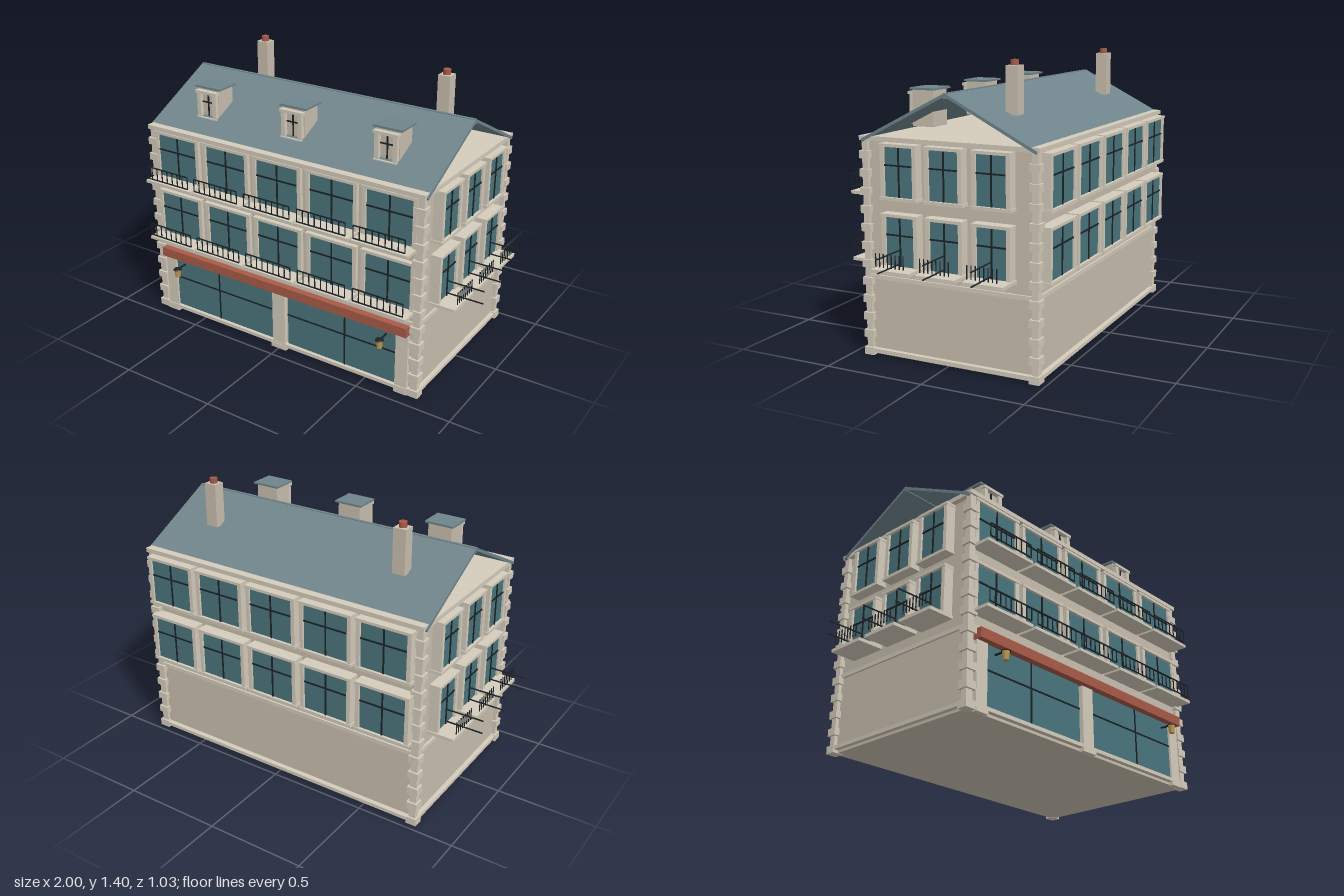
import * as THREE from 'three';

const mat = (color) => new THREE.MeshStandardMaterial({ color });
const M = {
  wall: mat(0xc8bfae), trim: mat(0xd4ccbc), glass: mat(0x4a757d), roof: mat(0x6f848b),
  iron: mat(0x1c2226), red: mat(0xa85a48), gold: mat(0xc09a50),
};

const WALL = { x: 0.77, front: 0.41, back: -0.45 };
const MID = (WALL.front + WALL.back) / 2;
const BAYS = [-0.615, -0.308, 0, 0.308, 0.615];
const SIDE_BAYS = [0.213, -0.018, -0.254];
const FLOORS = [0.46, 0.78];
const WIN_H = 0.23;

function box(parent, name, m, w, h, d, x, y, z) {
  const mesh = new THREE.Mesh(new THREE.BoxGeometry(w, h, d), m);
  mesh.name = name;
  mesh.position.set(x, y, z);
  parent.add(mesh);
  return mesh;
}

function cyl(parent, name, m, rTop, rBottom, h, x, y, z) {
  const mesh = new THREE.Mesh(new THREE.CylinderGeometry(rTop, rBottom, h, 16), m);
  mesh.name = name;
  mesh.position.set(x, y, z);
  parent.add(mesh);
  return mesh;
}

function group(parent, name, x = 0, y = 0, z = 0, turn = 0) {
  const g = new THREE.Group();
  g.name = name;
  g.position.set(x, y, z);
  g.rotation.y = turn;
  parent.add(g);
  return g;
}

// Framed window facing +z; origin on the wall at the bottom centre of the glass
function addWindow(g, w, d) {
  const h = WIN_H, j = 0.02;
  box(g, 'glass', M.glass, w, h, d - 0.014, 0, h / 2, (d - 0.014) / 2);
  box(g, 'mullion', M.iron, 0.007, h, 0.006, 0, h / 2, d - 0.012);
  box(g, 'transom', M.iron, w, 0.007, 0.006, 0, h * 0.63, d - 0.012);
  for (const s of [-1, 1]) box(g, 'jamb', M.trim, j, h, d - 0.004, s * (w + j) / 2, h / 2, (d - 0.004) / 2);
  box(g, 'lintel', M.trim, w + 2 * j + 0.004, 0.014, d, 0, h + 0.006, d / 2);
  box(g, 'sill', M.trim, w + 2 * j + 0.01, 0.015, d, 0, -0.0075, d / 2);
}

function addFrontRailing(g, w, z) {
  for (const y of [0.013, 0.077]) box(g, 'rail', M.iron, w, 0.005, 0.005, 0, y, z);
  for (let i = 0; i < 9; i++) box(g, 'baluster', M.iron, 0.004, 0.064, 0.004, (i / 8 - 0.5) * w, 0.045, z);
}

// Side railing: balusters along the slab edge, rails projecting outward across them
function addSideRailing(g, w, z) {
  for (const y of [0.015, 0.079]) box(g, 'rail', M.iron, 0.005, 0.005, 0.19, 0, y, z);
  for (let i = 0; i < 8; i++) box(g, 'baluster', M.iron, 0.004, 0.064, 0.004, (i / 7 - 0.5) * w, 0.047, z);
}

function addBody(root) {
  const g = group(root, 'body');
  const depth = WALL.front - WALL.back;
  box(g, 'walls', M.wall, 2 * WALL.x, 1.03, depth, 0, 0.52, MID);
  box(g, 'plinth', M.trim, 1.585, 0.018, depth + 0.05, 0, 0.027, MID);
  box(g, 'stringCourse', M.trim, 2 * WALL.x + 0.02, 0.02, depth + 0.02, 0, 0.385, MID);
  box(g, 'cornice', M.trim, 1.59, 0.022, depth + 0.05, 0, 1.037, MID);
  // Corner stones, alternately wide and narrow
  const n = 24, step = 1.025 / n;
  for (const sx of [-1, 1]) for (const z of [WALL.front, WALL.back]) {
    const q = group(g, 'quoins', sx * WALL.x, 0, z);
    for (let i = 0; i < n; i++) {
      const wide = i % 2 === 0;
      box(q, 'quoin', M.trim, wide ? 0.055 : 0.036, step * (wide ? 0.86 : 1.14), wide ? 0.05 : 0.03, 0, (i + 0.5) * step, 0);
    }
  }
}

function addShopfront(root) {
  const g = group(root, 'shopfront', 0, 0, WALL.front);
  for (const s of [-1, 1]) {
    const x = s * 0.36;
    box(g, 'shopGlass', M.glass, 0.62, 0.29, 0.01, x, 0.183, 0.005);
    box(g, 'shopMullion', M.iron, 0.007, 0.29, 0.006, s * 0.385, 0.183, 0.011);
    box(g, 'shopTransom', M.iron, 0.62, 0.007, 0.006, x, 0.207, 0.011);
    box(g, 'pilaster', M.trim, 0.065, 0.32, 0.02, s * 0.703, 0.165, 0.01);
    box(g, 'pilasterBase', M.trim, 0.07, 0.025, 0.026, s * 0.703, 0.0125, 0.013);
    // Wall lantern
    const l = group(g, 'lantern', s * 0.615, 0, 0);
    box(l, 'bracket', M.iron, 0.007, 0.007, 0.075, 0, 0.292, 0.038);
    cyl(l, 'lanternBody', M.gold, 0.018, 0.013, 0.042, 0, 0.27, 0.073);
    cyl(l, 'lanternCap', M.iron, 0.018, 0.022, 0.006, 0, 0.293, 0.073);
  }
  box(g, 'centrePilaster', M.trim, 0.075, 0.32, 0.022, 0, 0.165, 0.011);
  box(g, 'centreBase', M.trim, 0.09, 0.025, 0.028, 0, 0.0125, 0.014);
  box(g, 'signBoard', M.red, 1.475, 0.048, 0.045, 0, 0.351, 0.0225);
}

function addWindows(root) {
  for (const y of FLOORS) {
    for (const x of BAYS) {
      const f = group(root, 'frontWindow', x, y, WALL.front);
      addWindow(f, 0.24, 0.024);
      box(f, 'balconySlab', M.trim, 0.29, 0.015, 0.1, 0, -0.0075, 0.052);
      addFrontRailing(f, 0.265, 0.103);
      addWindow(group(root, 'backWindow', x, y, WALL.back, Math.PI), 0.24, 0.063);
    }
    for (const s of [-1, 1]) for (const z of SIDE_BAYS) {
      const g = group(root, 'sideWindow', s * WALL.x, y, z, s * Math.PI / 2);
      addWindow(g, 0.147, 0.055);
      if (y === FLOORS[0]) {
        box(g, 'sideBalconySlab', M.trim, 0.2, 0.016, 0.135, 0, -0.008, 0.0675);
        addSideRailing(g, 0.145, 0.135);
      }
    }
  }
}

function addRoof(root) {
  const g = group(root, 'roof');
  const run = 0.44, rise = 0.224, a = Math.atan2(rise, run);
  // Two thin slopes with open gable ends
  for (const s of [-1, 1]) {
    const slope = box(g, 'roofSlope', M.roof, 1.6, 0.014, Math.hypot(run, rise), 0, 1.027 + rise / 2, MID + s * run / 2);
    slope.rotation.x = s * a;
  }
  box(g, 'ridge', M.roof, 1.6, 0.024, 0.016, 0, 1.246, MID);

  for (const x of [-0.515, 0, 0.515]) {
    const d = group(g, 'dormer', x);
    box(d, 'dormerBody', M.wall, 0.125, 0.172, 0.11, 0, 1.16, 0.225);
    box(d, 'dormerRoof', M.roof, 0.152, 0.01, 0.13, 0, 1.25, 0.222);
    for (const s of [-1, 1]) box(d, 'dormerJamb', M.trim, 0.022, 0.13, 0.02, s * 0.048, 1.16, 0.29);
    box(d, 'dormerLintel', M.trim, 0.13, 0.014, 0.026, 0, 1.229, 0.292);
    box(d, 'dormerSill', M.trim, 0.125, 0.014, 0.024, 0, 1.092, 0.292);
    box(d, 'dormerMullion', M.iron, 0.006, 0.125, 0.006, 0, 1.16, 0.283);
    box(d, 'dormerTransom', M.iron, 0.075, 0.006, 0.006, 0, 1.175, 0.283);
  }

  for (const s of [-1, 1]) {
    const c = group(g, 'chimney', s * 0.538, 0, -0.23);
    box(c, 'chimneyStack', M.wall, 0.065, 0.22, 0.06, 0, 1.26, 0);
    cyl(c, 'chimneyPot', M.red, 0.019, 0.019, 0.028, 0, 1.382, 0);
  }
}

export function createModel() {
  const root = new THREE.Group();
  root.name = 'townhouse';
  addBody(root);
  addShopfront(root);
  addWindows(root);
  addRoof(root);
  return root;
}
